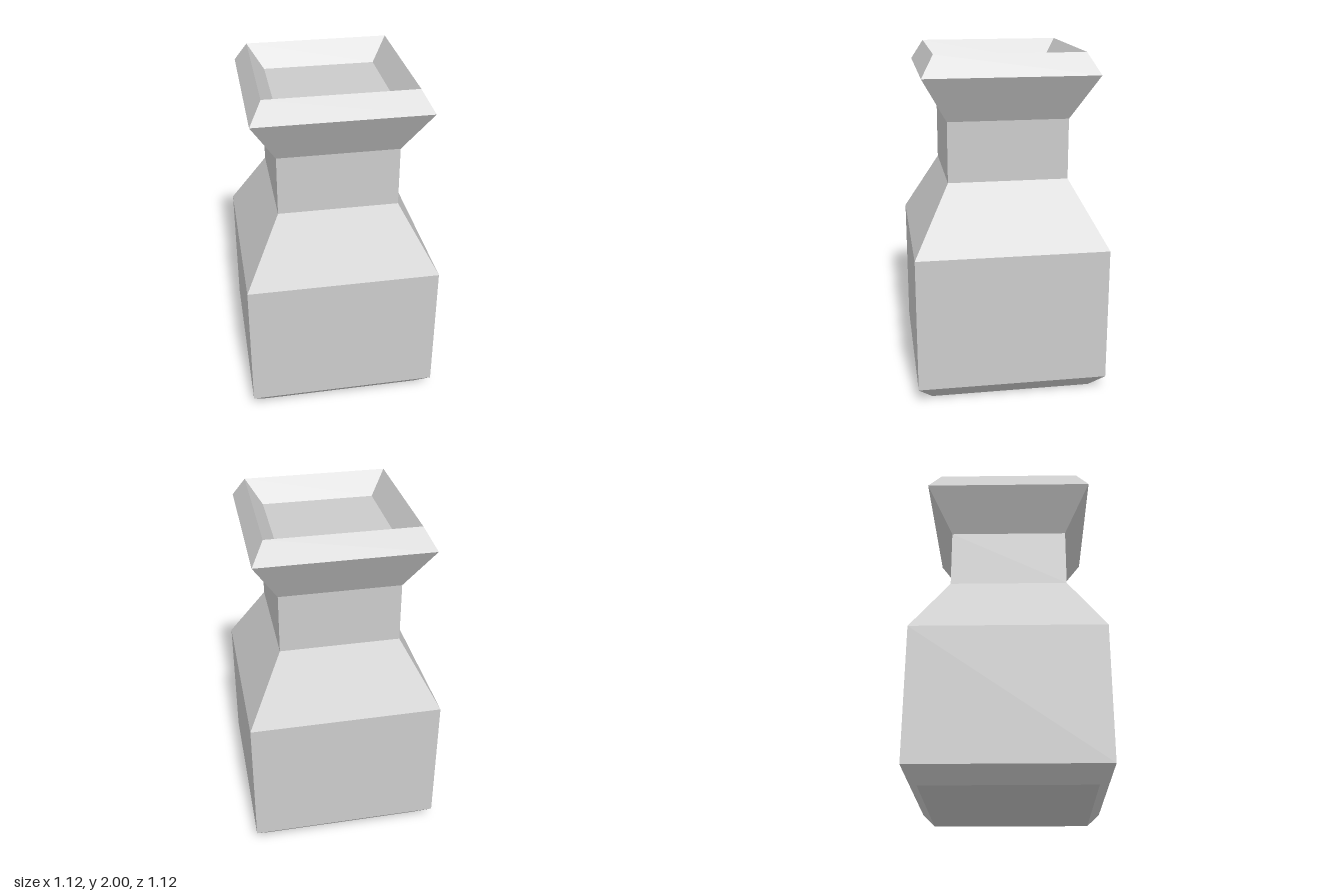
import * as THREE from 'three';

const material = new THREE.MeshStandardMaterial({ color: 0xcccccc, flatShading: true });

// Square ring of faces from a profile of [half width, height] points
function squareBand(name, profile) {
  const points = profile.map(([half, y]) => new THREE.Vector2(half * Math.SQRT2, y));
  const geometry = new THREE.LatheGeometry(points, 4, Math.PI / 4);
  const mesh = new THREE.Mesh(geometry, material);
  mesh.name = name;
  return mesh;
}

export function createModel() {
  const vase = new THREE.Group();
  vase.name = 'squareVase';

  vase.add(
    // Flat underside with a bevelled foot
    squareBand('foot', [[0, 0], [0.475, 0], [0.558, 0.09]]),
    // Straight-sided body and sloping shoulder
    squareBand('body', [[0.558, 0.09], [0.558, 0.885], [0.347, 1.27]]),
    // Straight neck
    squareBand('neck', [[0.347, 1.27], [0.347, 1.62]]),
    // Flared rim that turns in at the top
    squareBand('rim', [[0.347, 1.62], [0.492, 1.88], [0.421, 2]]),
    // Shallow sunken opening
    squareBand('basin', [[0.421, 2], [0.33, 1.87], [0, 1.87]])
  );
  return vase;
}
